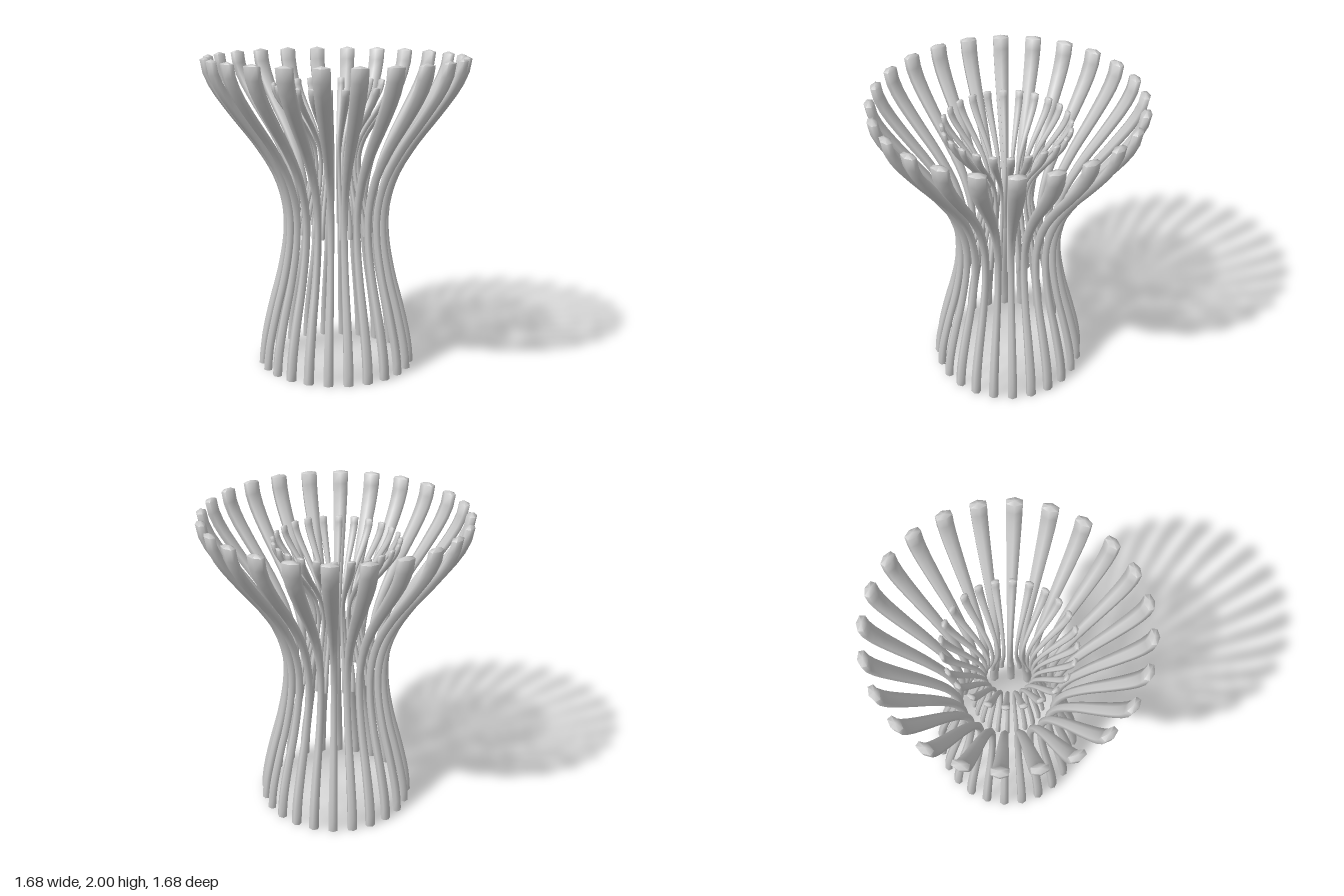
import * as THREE from 'three';
import { mergeVertices, toCreasedNormals } from 'three/addons/utils/BufferGeometryUtils.js';

const RIBS = 24;

// centre line of one rib: [radius, height]
const PATH = new THREE.CatmullRomCurve3([
  [0.482, 0], [0.474, 0.1], [0.458, 0.2], [0.412, 0.4], [0.36, 0.6], [0.318, 0.85],
  [0.32, 1.05], [0.375, 1.25], [0.49, 1.45], [0.64, 1.65], [0.745, 1.8],
  [0.795, 1.9], [0.812, 1.985],
].map(([r, y]) => new THREE.Vector3(0, y, r)));

// six-sided bar swept along the path, its width growing with the radius
function ribGeometry() {
  const geo = new THREE.CylinderGeometry(1, 1, 1, 6, 28);
  const pos = geo.attributes.position;
  for (let i = 0; i < pos.count; i++) {
    const x = pos.getX(i), z = pos.getZ(i);
    const t = THREE.MathUtils.clamp(pos.getY(i) + 0.5, 0, 1);
    const p = PATH.getPointAt(t);
    const tan = PATH.getTangentAt(t);
    if (t < 0.001 || t > 0.999) tan.set(0, 1, 0); // level ends
    const wide = 0.07 * p.z;
    const deep = 0.022 + 0.0125 * p.z;
    const dome = t > 0.999 && Math.hypot(x, z) < 0.01 ? 0.015 : 0;
    pos.setXYZ(i, x * wide, p.y - z * deep * tan.z + dome, p.z + z * deep * tan.y);
  }
  geo.deleteAttribute('uv');
  geo.deleteAttribute('normal');
  return toCreasedNormals(mergeVertices(geo, 1e-5), 1.3);
}

// ring of equal ribs around the vertical axis
function ribRing(name, ribName, geo, mat) {
  const ring = new THREE.Group();
  ring.name = name;
  for (let k = 0; k < RIBS; k++) {
    const rib = new THREE.Mesh(geo, mat);
    rib.name = ribName;
    rib.rotation.y = THREE.MathUtils.degToRad((k * 360) / RIBS - 4.3);
    ring.add(rib);
  }
  return ring;
}

export function createModel() {
  const model = new THREE.Group();
  model.name = 'ribbedPedestal';
  const mat = new THREE.MeshStandardMaterial({ color: 0xcccccc });
  const geo = ribGeometry();

  // tall outer ribs
  const outer = ribRing('outerRibs', 'outerRib', geo, mat);
  // smaller copy held inside the upper half
  const inner = ribRing('innerRibs', 'innerRib', geo, mat);
  inner.scale.setScalar(0.48);
  inner.position.set(-0.008, 0.87, 0.005);

  model.add(outer, inner);
  return model;
}
